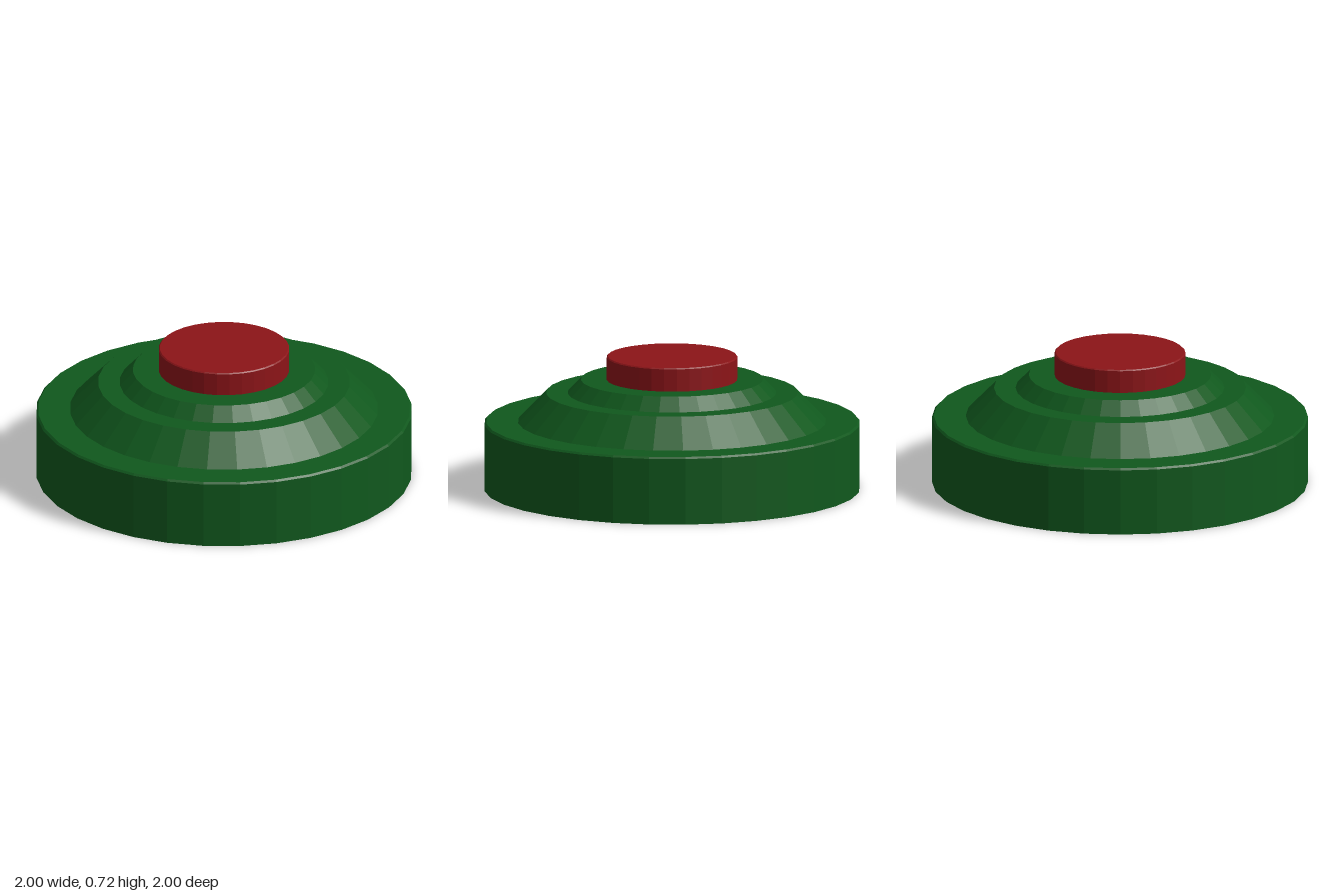
import * as THREE from 'three';

const SIDES = 32;
const green = new THREE.MeshStandardMaterial({ color: 0x10581d, flatShading: true });
const red = new THREE.MeshStandardMaterial({ color: 0x8c1418, flatShading: true });

// Turned part from [radius, height] pairs, listed from bottom to top
function turned(name, profile, material) {
  const points = profile.map(([r, y]) => new THREE.Vector2(r, y));
  const mesh = new THREE.Mesh(new THREE.LatheGeometry(points, SIDES), material);
  mesh.name = name;
  return mesh;
}

export function createModel() {
  const model = new THREE.Group();
  model.name = 'roundDeviceWithButton';

  model.add(
    // Wide drum with a fine bevel on its upper rim
    turned('base', [[0, 0], [1, 0], [1, 0.355], [0.99, 0.365], [0.82, 0.365]], green),
    // Two sloped steps, each ending in a flat ledge
    turned('lowerStep', [[0.82, 0.365], [0.67, 0.52], [0.555, 0.52]], green),
    turned('upperStep', [[0.555, 0.52], [0.485, 0.592], [0.348, 0.592]], green),
    // Raised push button with a fine bevel
    turned('button', [[0.348, 0.592], [0.348, 0.712], [0.342, 0.718], [0, 0.718]], red),
  );
  return model;
}
